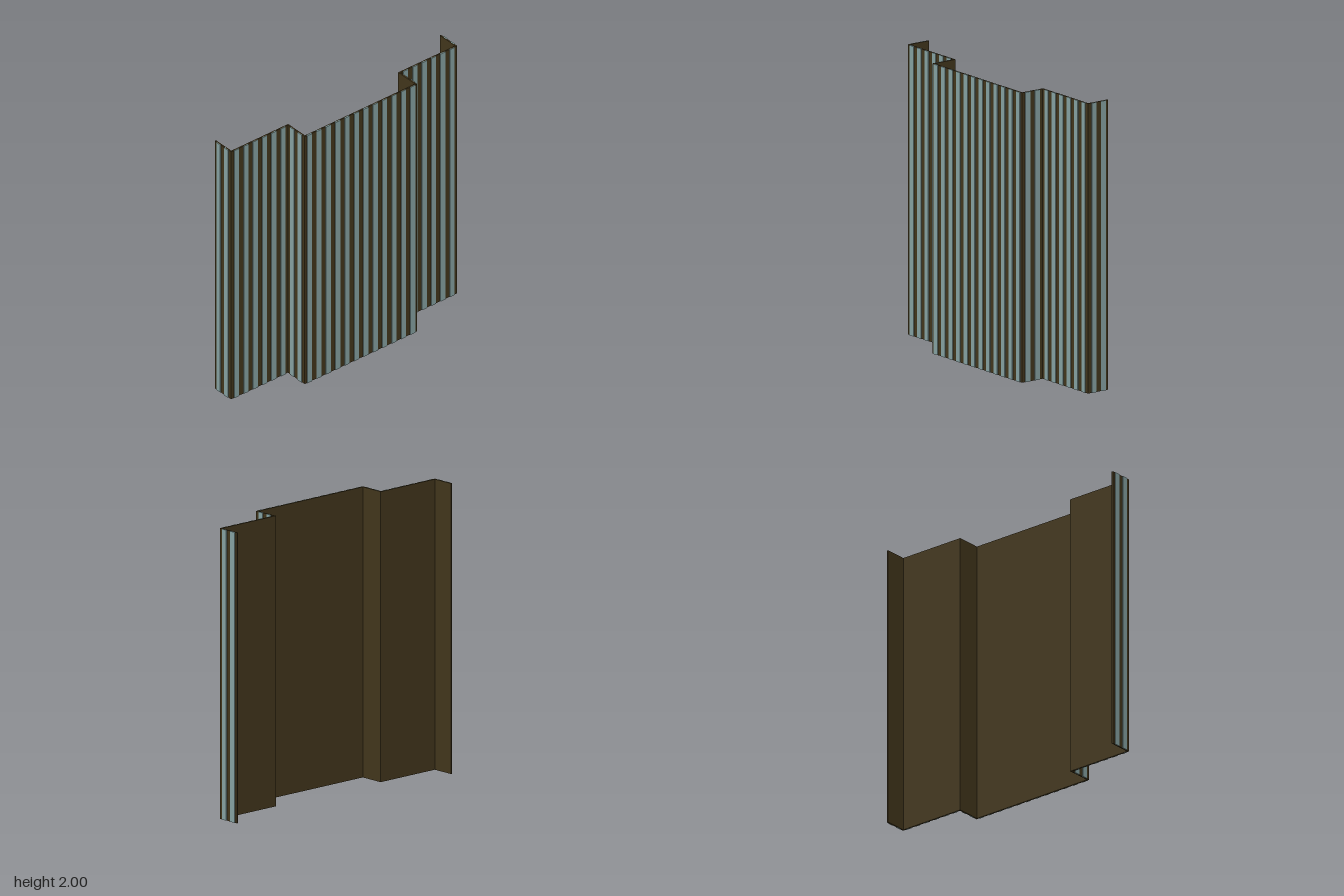
import * as THREE from 'three';

const HEIGHT = 2;
const STRIP = 0.041; // strip width
const RAISE = 0.005; // how far strips stand off the sheet

export function createModel() {
  const group = new THREE.Group();
  group.name = 'claddingPanel';
  const brown = new THREE.MeshStandardMaterial({ color: 0x42361c });
  const teal = new THREE.MeshStandardMaterial({ color: 0x86a2a2 });

  // Folded sheet: one half of its plan section as [x, z], outside then inside
  const outer = [[0.98, -0.175], [0.98, -0.005], [0.487, -0.005], [0.487, 0.17]];
  const inner = [[0.97, -0.175], [0.97, -0.015], [0.477, -0.015], [0.477, 0.16]];
  const mirror = (pts) => pts.map(([x, z]) => [-x, z]);
  const outline = [
    ...outer, ...mirror(outer).reverse(),
    ...mirror(inner), ...[...inner].reverse(),
  ];
  const shape = new THREE.Shape(outline.map(([x, z]) => new THREE.Vector2(x, -z)));
  const sheetGeometry = new THREE.ExtrudeGeometry(shape, { depth: HEIGHT, bevelEnabled: false });
  sheetGeometry.rotateX(-Math.PI / 2);
  const sheet = new THREE.Mesh(sheetGeometry, brown);
  sheet.name = 'foldedSheet';
  group.add(sheet);

  // Vertical strips, sunk slightly into the sheet
  const depth = RAISE * 2;
  const frontStrip = new THREE.BoxGeometry(STRIP, HEIGHT, depth);
  const sideStrip = new THREE.BoxGeometry(depth, HEIGHT, STRIP);
  const addStrip = (name, geometry, x, z) => {
    const strip = new THREE.Mesh(geometry, teal);
    strip.name = name;
    strip.position.set(x, HEIGHT / 2, z);
    group.add(strip);
  };

  for (const side of [-1, 1]) {
    // Six strips on each half of the middle face and six on each wing
    for (let i = 0; i < 6; i++) {
      addStrip('middleStrip', frontStrip, side * (0.0408 + i * 0.0814), 0.17);
      addStrip('wingStrip', frontStrip, side * (0.531 + i * 0.0806), -0.005);
    }
    // Two strips on each step and each end return
    for (const z of [0.122, 0.042]) {
      addStrip('stepStrip', sideStrip, side * 0.487, z);
      addStrip('returnStrip', sideStrip, side * 0.98, z - 0.175);
    }
  }
  return group;
}
